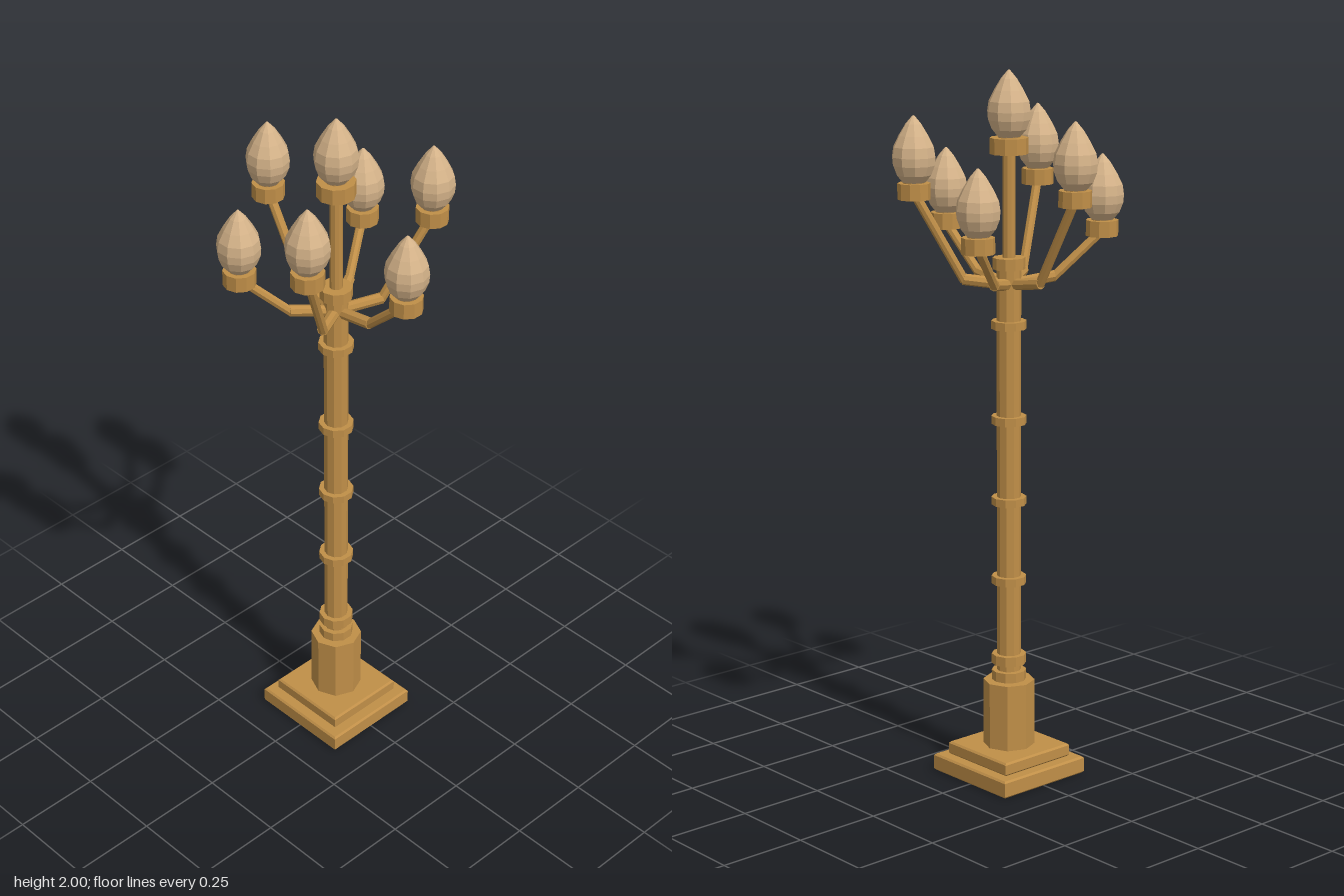
import * as THREE from 'three';

const metal = new THREE.MeshStandardMaterial({ color: 0xc08f48, flatShading: true });
metal.name = 'brass';
const glass = new THREE.MeshStandardMaterial({ color: 0xd6b48a, flatShading: true });
glass.name = 'warm glass';

function add(parent, name, geometry, material = metal) {
  const mesh = new THREE.Mesh(geometry, material);
  mesh.name = name;
  parent.add(mesh);
  return mesh;
}

// Upright prism between two heights
function column(parent, name, radius, y0, y1, sides = 10) {
  const mesh = add(parent, name, new THREE.CylinderGeometry(radius, radius, y1 - y0, sides));
  mesh.position.y = (y0 + y1) / 2;
  return mesh;
}

// Square slab with small chamfers on every edge
function slab(parent, name, half, y0, y1) {
  const b = 0.005, h = half - b;
  const shape = new THREE.Shape([[-h, -h], [h, -h], [h, h], [-h, h]].map(p => new THREE.Vector2(...p)));
  const geometry = new THREE.ExtrudeGeometry(shape, {
    depth: y1 - y0 - 2 * b, bevelEnabled: true, bevelSize: b, bevelThickness: b, bevelSegments: 1,
  });
  geometry.rotateX(-Math.PI / 2);
  add(parent, name, geometry).position.y = y0 + b;
}

// Straight rod between two points
function rod(parent, name, a, b, radius) {
  const dir = b.clone().sub(a);
  const mesh = add(parent, name, new THREE.CylinderGeometry(radius, radius, dir.length(), 8));
  mesh.position.copy(a).add(b).multiplyScalar(0.5);
  mesh.quaternion.setFromUnitVectors(new THREE.Vector3(0, 1, 0), dir.normalize());
}

// Holder with a teardrop globe; the origin is the underside of the holder
function makeLamp(holderRadius) {
  const lamp = new THREE.Group();
  lamp.name = 'lamp';
  column(lamp, 'holder', holderRadius, 0, 0.044);
  column(lamp, 'holderNeck', 0.03, 0.04, 0.052);
  const profile = [
    [0, 0.046], [0.031, 0.046], [0.048, 0.066], [0.058, 0.092], [0.06, 0.115],
    [0.056, 0.142], [0.041, 0.172], [0.022, 0.203], [0.003, 0.225], [0, 0.226],
  ].map(p => new THREE.Vector2(...p));
  const globe = add(lamp, 'globe', new THREE.LatheGeometry(profile, 10), glass);
  globe.rotation.y = Math.PI / 2;
  return lamp;
}

export function createModel() {
  const model = new THREE.Group();
  model.name = 'streetLamp';

  // Stepped base and pedestal
  slab(model, 'lowerPlinth', 0.152, 0, 0.05);
  slab(model, 'upperPlinth', 0.122, 0.05, 0.088);
  column(model, 'pedestal', 0.073, 0.086, 0.28, 8);

  // Post with rings
  column(model, 'post', 0.034, 0.28, 1.47);
  [[0.282, 0.31], [0.33, 0.358], [0.565, 0.588], [0.795, 0.817], [1.026, 1.049], [1.294, 1.317]]
    .forEach(([y0, y1]) => column(model, 'postRing', 0.049, y0, y1));
  column(model, 'topCollar', 0.045, 1.46, 1.492);

  // Central lamp
  column(model, 'centreStem', 0.018, 1.48, 1.78);
  const centreLamp = makeLamp(0.053);
  centreLamp.position.y = 1.775;
  model.add(centreLamp);

  // Six bent arms, alternately low and high
  for (let i = 0; i < 6; i++) {
    const angle = i * Math.PI / 3;
    const high = i % 2 === 1;
    const lampY = high ? 1.659 : 1.543;
    const arm = new THREE.Group();
    arm.name = high ? 'highArm' : 'lowArm';
    const elbow = new THREE.Vector3(0.128, 1.436, 0);
    rod(arm, 'innerArm', new THREE.Vector3(0, 1.416, 0), elbow, 0.016);
    rod(arm, 'outerArm', elbow.clone().add(new THREE.Vector3(-0.004, -0.004, 0)),
      new THREE.Vector3(0.257, lampY + 0.01, 0), 0.013);
    arm.rotation.y = angle;
    model.add(arm);

    const lamp = makeLamp(0.045);
    lamp.position.set(0.261 * Math.cos(angle), lampY, -0.261 * Math.sin(angle));
    model.add(lamp);
  }
  return model;
}
